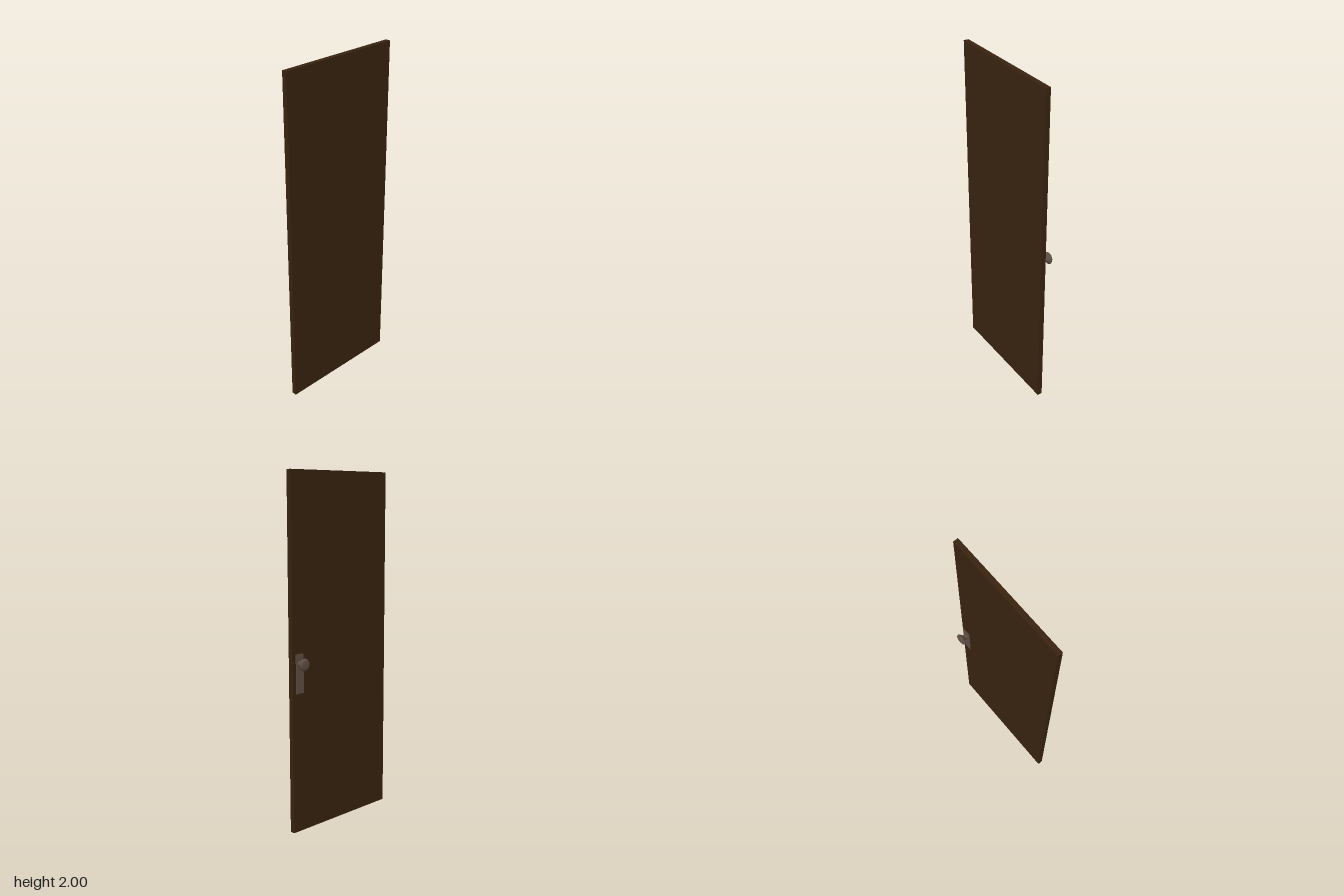
import * as THREE from 'three';

export function createModel() {
  const wood = new THREE.MeshStandardMaterial({ color: 0x38230f });
  wood.name = 'dark wood';
  const bronze = new THREE.MeshStandardMaterial({ color: 0x5e4e42 });
  bronze.name = 'aged bronze';

  const model = new THREE.Group();
  model.name = 'door';

  const add = (name, geometry, material, x, y, z) => {
    const mesh = new THREE.Mesh(geometry, material);
    mesh.name = name;
    mesh.position.set(x, y, z);
    model.add(mesh);
    return mesh;
  };

  // Plain door slab
  add('doorPanel', new THREE.BoxGeometry(0.029, 2, 0.746), wood, 0.03, 1, 0);

  // Tall thin plate, standing just off the slab
  const knobZ = -0.328;
  add('handlePlate', new THREE.BoxGeometry(0.004, 0.22, 0.055), bronze, 0.006, 0.91, knobZ);

  // Turned knob: flared foot, narrow neck, wide rounded head
  const profile = [
    [0, 0], [0.019, 0], [0.018, 0.003], [0.013, 0.008], [0.012, 0.013],
    [0.018, 0.02], [0.028, 0.028], [0.034, 0.033], [0.035, 0.037],
    [0.033, 0.042], [0.028, 0.047], [0.022, 0.049], [0, 0.05],
  ].map(([r, h]) => new THREE.Vector2(r, h));
  const knob = add('knob', new THREE.LatheGeometry(profile, 32), bronze, 0.005, 0.965, knobZ);
  knob.rotation.z = Math.PI / 2; // axis points to -x

  return model;
}
